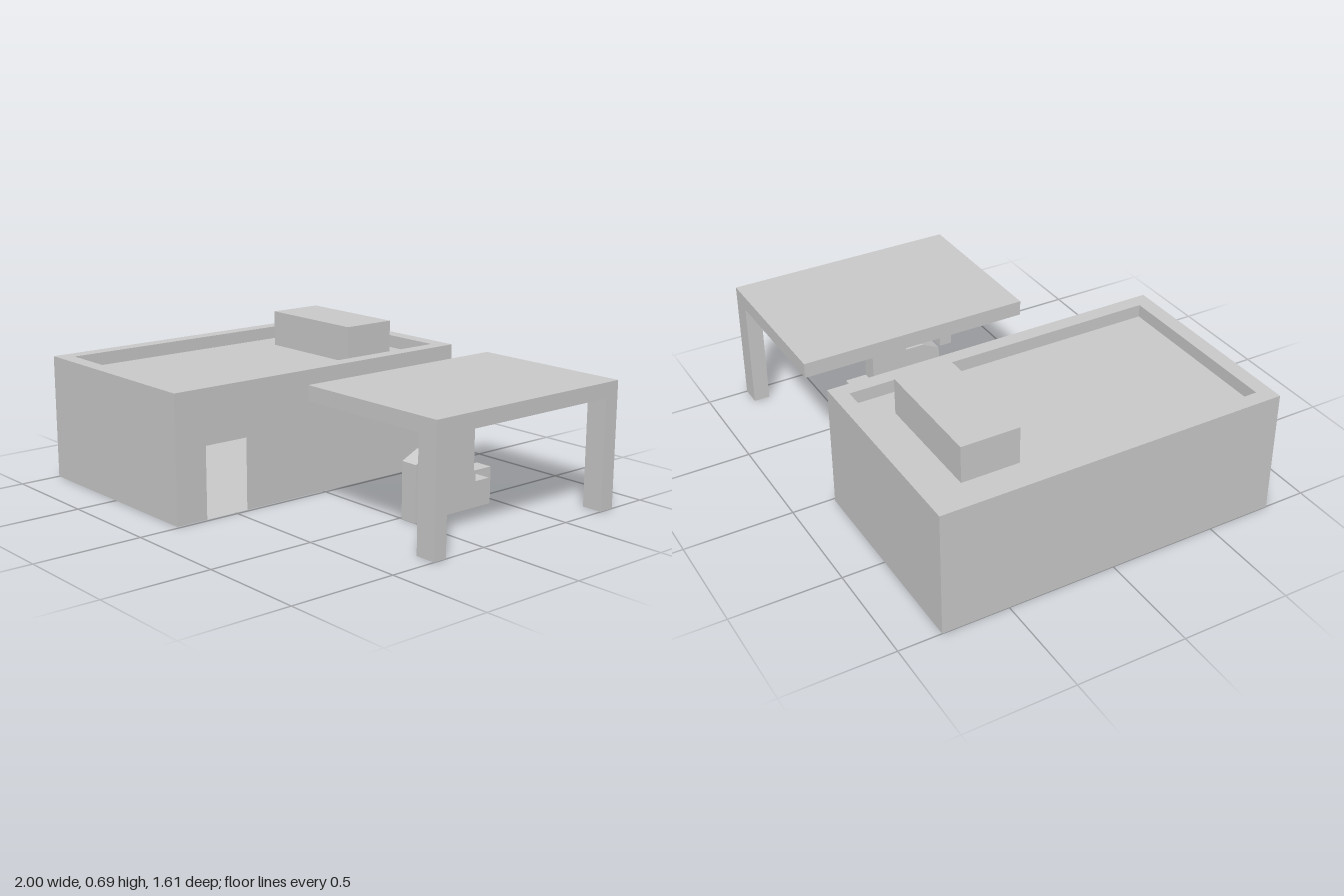
import * as THREE from 'three';

const solid = new THREE.MeshStandardMaterial({ color: 0xcccccc, flatShading: true });
const sheet = new THREE.MeshStandardMaterial({ color: 0xcccccc, flatShading: true, side: THREE.DoubleSide });

function add(parent, name, geometry, material = solid) {
  const mesh = new THREE.Mesh(geometry, material);
  mesh.name = name;
  parent.add(mesh);
  return mesh;
}

// Box given by its limits on each axis
function block(parent, name, [x0, x1], [y0, y1], [z0, z1]) {
  const mesh = add(parent, name, new THREE.BoxGeometry(x1 - x0, y1 - y0, z1 - z0));
  mesh.position.set((x0 + x1) / 2, (y0 + y1) / 2, (z0 + z1) / 2);
}

const outline = (points) => new THREE.Shape(points.map(([a, b]) => new THREE.Vector2(a, b)));
const rect = (a0, a1, b0, b1) => outline([[a0, b0], [a1, b0], [a1, b1], [a0, b1]]);

// Side profile with (z, y) points; local x runs along -z so faces point to +x
const sideOutline = (points) => outline(points.map(([z, y]) => [-z, y]));

// Horizontal sheet facing up from a shape drawn in (x, -z)
const flat = (shape, y) => new THREE.ShapeGeometry(shape).rotateX(-Math.PI / 2).translate(0, y, 0);

// Upright panels around a rectangle, facing outwards or inwards; skip leaves one out
function panels(parent, name, [x0, x1], [y0, y1], [z0, z1], inward, skip) {
  const w = x1 - x0, d = z1 - z0;
  for (let i = 0; i < 4; i++) {
    if (i === skip) continue;
    const [width, offset] = i % 2 ? [d, w / 2] : [w, d / 2];
    const g = new THREE.PlaneGeometry(width, y1 - y0);
    if (inward) g.rotateY(Math.PI);
    g.translate(0, 0, offset).rotateY(i * Math.PI / 2);
    g.translate((x0 + x1) / 2, (y0 + y1) / 2, (z0 + z1) / 2);
    add(parent, name, g, sheet);
  }
}

function createBuilding() {
  const building = new THREE.Group();
  building.name = 'building';
  const X = [-1, -0.015], Z = [-0.805, 0.805], top = 0.58, deck = 0.52;
  const innerX = [-0.93, -0.085], innerZ = [-0.735, 0.735];

  // Hollow shell; the left wall has the doorway
  panels(building, 'wall', X, [0, top], Z, false, 1);
  const doorWall = sideOutline([
    [Z[1], 0], [0.65, 0], [0.65, 0.345], [0.435, 0.345], [0.435, 0], [Z[0], 0], [Z[0], top], [Z[1], top],
  ]);
  add(building, 'doorWall', new THREE.ShapeGeometry(doorWall).rotateY(Math.PI / 2).translate(X[1], 0, 0), sheet);
  add(building, 'floor', flat(rect(...X, ...Z), 0), sheet);

  // Parapet rim around the sunken roof
  const rim = rect(...X, ...Z);
  rim.holes.push(rect(...innerX, ...innerZ));
  add(building, 'parapetRim', flat(rim, top), sheet);
  panels(building, 'parapetInside', innerX, [deck, top], innerZ, true);
  add(building, 'roofDeck', flat(rect(...innerX, ...innerZ), deck), sheet);

  block(building, 'roofUnit', [-0.79, -0.23], [deck, 0.69], [-0.597, -0.33]);
  return building;
}

function createCanopy() {
  const canopy = new THREE.Group();
  canopy.name = 'canopy';
  block(canopy, 'canopyRoof', [0.22, 1], [0.51, 0.58], [-0.805, 0.28]);
  for (const z of [[0.215, 0.28], [-0.805, -0.73]]) block(canopy, 'canopyLeg', [0.9, 1], [0, 0.51], z);

  // Central support with stepped base and a small opening
  const profile = sideOutline([
    [0.005, 0], [-0.45, 0], [-0.45, 0.17], [-0.345, 0.17], [-0.345, 0.51],
    [-0.17, 0.51], [-0.17, 0.3], [-0.08, 0.3], [0.005, 0.26],
  ]);
  profile.holes.push(rect(0.355, 0.44, 0.12, 0.16));
  const support = new THREE.ExtrudeGeometry(profile, { depth: 0.085, bevelEnabled: false });
  add(canopy, 'centralSupport', support.rotateY(Math.PI / 2).translate(0.515, 0, 0));
  return canopy;
}

export function createModel() {
  const model = new THREE.Group();
  model.name = 'buildingWithCanopy';
  model.add(createBuilding(), createCanopy());
  return model;
}
